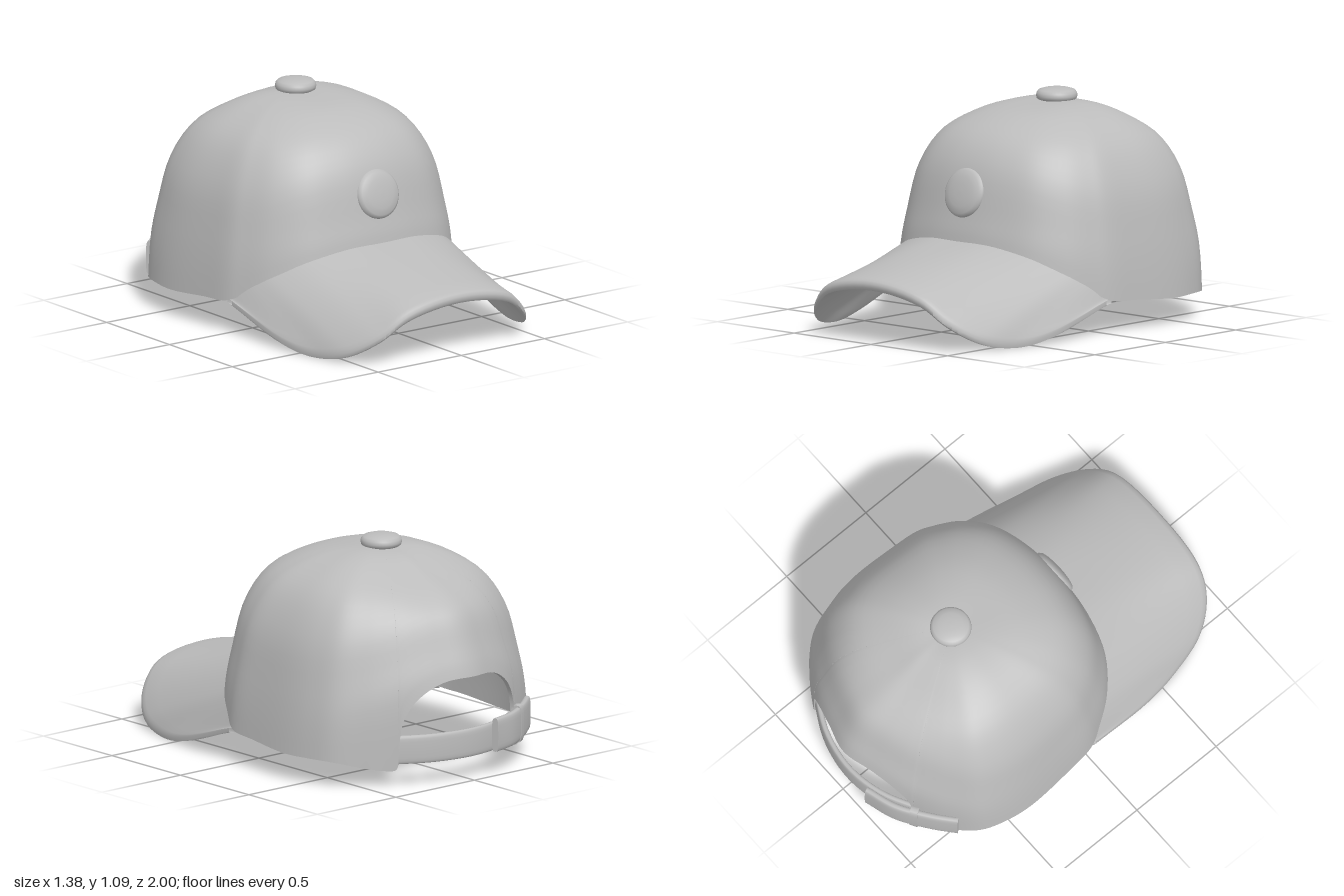
import * as THREE from 'three';
import { toCreasedNormals } from 'three/addons/utils/BufferGeometryUtils.js';

const V = (x, y, z) => new THREE.Vector3(x, y, z);
const lerp = THREE.MathUtils.lerp;
const spline = (pts, closed = false) => new THREE.CatmullRomCurve3(pts, closed, 'centripetal');

const cloth = new THREE.MeshStandardMaterial({ color: 0xbcbcbc, side: THREE.DoubleSide });
cloth.name = 'grey cloth';

// Skin a list of equally long point columns
function skin(cols, crease = 0.9) {
  const n = cols[0].length, index = [];
  for (let i = 0; i < cols.length - 1; i++) {
    for (let j = 0; j < n - 1; j++) {
      const a = i * n + j, c = a + n;
      index.push(a, a + 1, c, a + 1, c + 1, c);
    }
  }
  const geo = new THREE.BufferGeometry().setFromPoints(cols.flat());
  geo.setIndex(index);
  // Normals are merged at a coarse tolerance, so find them at a larger scale
  geo.scale(100, 100, 100);
  return toCreasedNormals(geo, crease).scale(0.01, 0.01, 0.01);
}

// Extend a half outline from +x round to a full closed one
const mirrorLoop = half => half.concat(
  half.slice(1, -1).reverse().map(p => V(-p.x, p.y, p.z)));

// Six-panel dome with a hem that rises over the visor and the back opening
function crownGeometry() {
  const cz = -0.32;
  // x, hem height, z
  const rim = [
    [0, 0.41, 0.39], [0.2, 0.405, 0.375], [0.4, 0.36, 0.318], [0.545, 0.275, 0.205],
    [0.625, 0.2, 0.08], [0.66, 0.165, 0], [0.68, 0.155, -0.15], [0.69, 0.135, -0.4],
    [0.668, 0.135, -0.55], [0.62, 0.13, -0.67], [0.5, 0.1, -0.78], [0.42, 0.085, -0.835],
    [0.375, 0.09, -0.862], [0.365, 0.2, -0.868], [0.345, 0.33, -0.88],
    [0.28, 0.43, -0.912], [0.16, 0.5, -0.958], [0, 0.515, -1],
  ].map(p => V(...p));
  // Radius fraction and height from the top down, for each direction
  const front = [[0, 1.04], [0.25, 1.03], [0.5, 1], [0.75, 0.91], [0.88, 0.78], [0.96, 0.56], [1, 0.43], [1.02, 0.05]];
  const side = [[0, 1.04], [0.25, 1.035], [0.5, 0.98], [0.72, 0.87], [0.87, 0.68], [0.94, 0.46], [0.98, 0.27], [1.01, 0.05]];
  const back = [[0, 1.04], [0.25, 1.015], [0.46, 0.95], [0.7, 0.87], [0.83, 0.795], [0.92, 0.66], [1, 0.5], [1, 0.05]];

  const loop = mirrorLoop(rim);
  const curve = spline(loop, true);
  const count = loop.length * 5, rows = 24, cols = [];
  for (let i = 0; i <= count; i++) {
    const p = curve.getPoint((i % count) / count);
    const dx = p.x, dz = p.z - cz;
    const w = (dz * dz) / (dx * dx + dz * dz);
    const end = dz > 0 ? front : back;
    const profile = spline(side.map((s, k) =>
      V(lerp(s[0], end[k][0], w), lerp(s[1], end[k][1], w), 0)));
    // Cut the profile at the hem
    let lo = 0.3, hi = 1;
    for (let k = 0; k < 24; k++) {
      const mid = (lo + hi) / 2;
      if (profile.getPoint(mid).y > p.y) lo = mid; else hi = mid;
    }
    const outer = [], inner = [];
    for (let j = 0; j <= rows; j++) {
      const v = j / rows, q = profile.getPoint(v * lo);
      outer.push(V(dx * q.x, q.y, cz + dz * q.x));
      const s = q.x * 0.972;
      inner.push(V(dx * s, q.y - 0.02 * (1 - v), cz + dz * s));
    }
    cols.push(outer.concat(inner.reverse()));
  }
  return skin(cols);
}

// Curved bill ruled between the crown seam and its outer edge
function visorGeometry() {
  const seam = [[0, 0.43, 0.385], [0.2, 0.425, 0.37], [0.4, 0.38, 0.313], [0.535, 0.305, 0.21],
    [0.59, 0.255, 0.14], [0.628, 0.205, 0.07], [0.65, 0.175, 0]];
  const edge = [[0, 0.31, 1], [0.3, 0.26, 0.985], [0.43, 0.16, 0.93], [0.53, 0.072, 0.8],
    [0.588, 0.035, 0.6], [0.625, 0.058, 0.4], [0.655, 0.17, 0.04]];
  const full = half => spline([
    ...half.slice(1).reverse().map(([x, y, z]) => V(-x, y, z)),
    ...half.map(p => V(...p))]);
  const a = full(seam), b = full(edge), n = 72;
  // Run across the top, round the lip and back underneath: reach, drop
  const section = [[-0.03, 0], [0.2, 0], [0.4, 0], [0.6, 0], [0.8, 0], [0.95, 0],
    [0.985, 0.08], [1, 0.3], [1, 0.65], [0.985, 0.92], [0.95, 1], [0.8, 1],
    [0.6, 1], [0.4, 1], [0.2, 1], [-0.03, 1], [-0.03, 0]];
  const cols = [];
  for (let i = 0; i <= n; i++) {
    const t = i / n, p = a.getPoint(t), q = b.getPoint(t);
    const thick = lerp(0.055, 0.022, Math.pow(Math.abs(2 * t - 1), 2));
    cols.push(section.map(([r, d]) => {
      const m = p.clone().lerp(q, r);
      m.y -= d * thick;
      return m;
    }));
  }
  return skin(cols);
}

// Upright rounded ribbon along a plan path, closed at both ends
function bandGeometry(path, y, height, thick, steps = 24) {
  const curve = spline(path.map(([x, z]) => V(x, y, z)));
  const round = c => Math.sign(c) * Math.sqrt(Math.abs(c));
  const cols = [];
  for (let i = -1; i <= steps + 1; i++) {
    const t = THREE.MathUtils.clamp(i / steps, 0, 1);
    const p = curve.getPoint(t), d = curve.getTangent(t);
    const k = i < 0 || i > steps ? 0 : 1;
    const col = [];
    for (let j = 0; j <= 20; j++) {
      const a = (j / 20) * Math.PI * 2;
      const o = k * round(Math.cos(a)) * thick / 2;
      col.push(V(p.x - d.z * o, p.y - k * round(Math.sin(a)) * height / 2, p.z + d.x * o));
    }
    cols.push(col);
  }
  return skin(cols);
}

// Round pad with a soft shoulder and a slightly domed top
function padGeometry(radius, height) {
  const profile = [[0, 0], [0.85, 0], [0.96, 0.12], [1, 0.35], [0.97, 0.6],
    [0.86, 0.8], [0.6, 0.93], [0.3, 0.99], [0, 1]];
  return new THREE.LatheGeometry(
    profile.map(([r, y]) => new THREE.Vector2(r * radius, y * height)), 40);
}

export function createModel() {
  const group = new THREE.Group();
  group.name = 'baseballCap';
  const add = (name, geo) => {
    const mesh = new THREE.Mesh(geo, cloth);
    mesh.name = name;
    group.add(mesh);
    return mesh;
  };

  add('crown', crownGeometry());
  add('visor', visorGeometry());

  // Button on top
  add('topButton', padGeometry(0.1, 0.06)).position.set(0, 1.035, -0.32);

  // Plain domed disc on the front panel
  const disc = add('frontDisc', padGeometry(0.122, 0.06));
  disc.rotation.x = Math.PI / 2 - 0.27;
  disc.position.set(0, 0.652, 0.308);

  // Adjustable strap with its overlapping outer end and keeper loop
  add('strap', bandGeometry([[0.48, -0.775], [0.36, -0.85], [0.2, -0.93], [0, -0.965],
    [-0.2, -0.93], [-0.4, -0.83]], 0.182, 0.14, 0.03));
  add('strapEnd', bandGeometry([[-0.15, -0.98], [-0.3, -0.932], [-0.45, -0.835],
    [-0.555, -0.748]], 0.195, 0.165, 0.035));
  add('strapLoop', bandGeometry([[-0.365, -0.886], [-0.4, -0.865]], 0.195, 0.185, 0.055, 4));

  return group;
}
